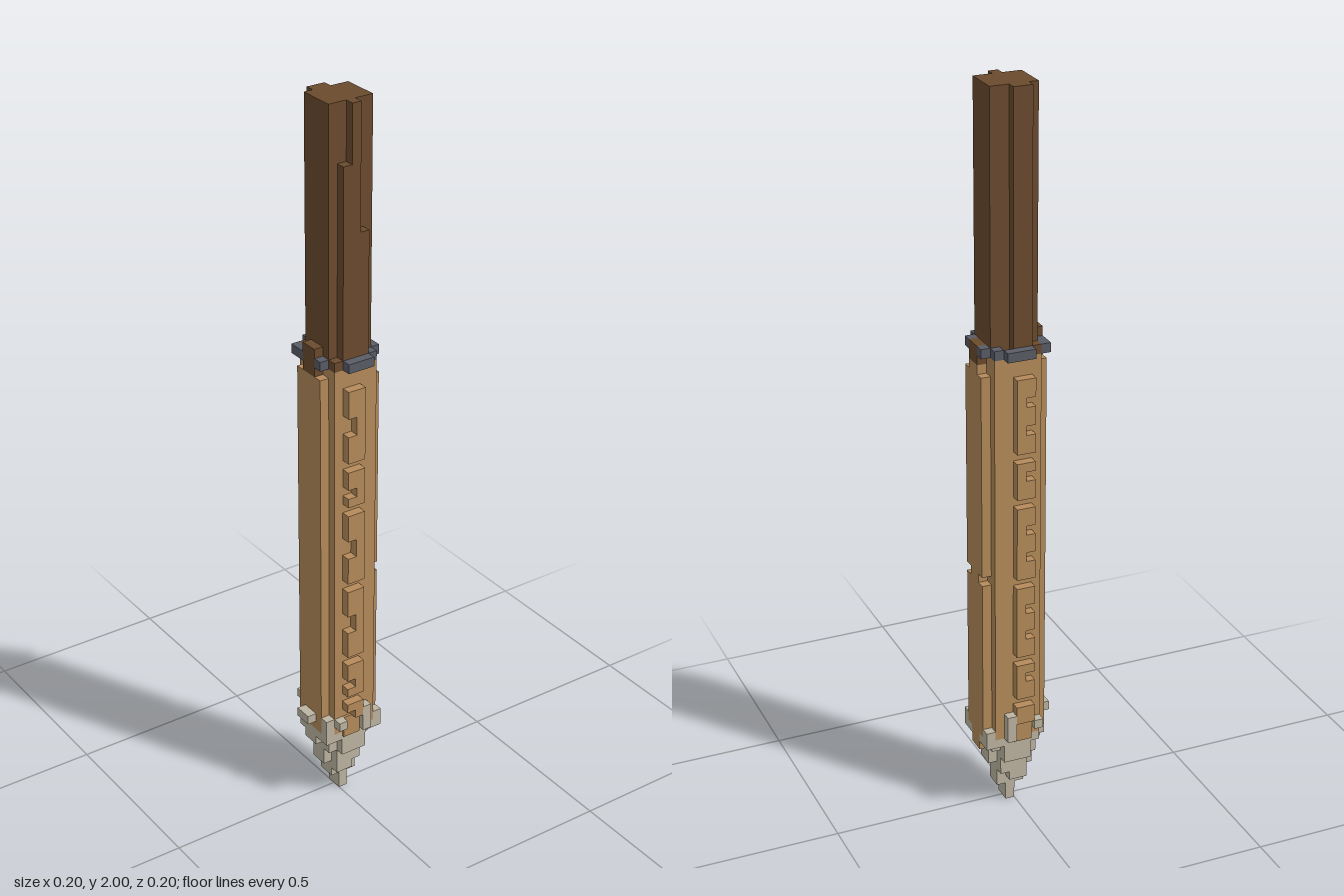
import * as THREE from 'three';

const V = 2 / 79; // one block

const wood = new THREE.MeshStandardMaterial({ color: 0x6b4a2e });
wood.name = 'dark wood';
const tan = new THREE.MeshStandardMaterial({ color: 0xb58b5a });
tan.name = 'tan wrap';
const iron = new THREE.MeshStandardMaterial({ color: 0x595c66 });
iron.name = 'blue grey iron';
const bone = new THREE.MeshStandardMaterial({ color: 0xbdb5a2 });
bone.name = 'pale tip';

export function createModel() {
  const model = new THREE.Group();
  model.name = 'stake';

  // Box spanning grid lines x0..x1, y0..y1, z0..z1
  function block(name, material, x0, x1, y0, y1, z0, z1) {
    const geo = new THREE.BoxGeometry((x1 - x0) * V, (y1 - y0) * V, (z1 - z0) * V);
    const mesh = new THREE.Mesh(geo, material);
    mesh.position.set((x0 + x1) / 2 * V, (y0 + y1) / 2 * V, (z0 + z1) / 2 * V);
    mesh.name = name;
    model.add(mesh);
  }

  // Handle with a stepped ridge in front and a straight one behind
  block('handle', wood, -2, 3, 52, 79, -2, 2);
  block('handleFrontRidge', wood, -1, 2, 52, 66, 2, 3);
  block('handleFrontRidge', wood, -1, 1, 66, 73, 2, 3);
  block('handleFrontRidge', wood, 0, 1, 73, 79, 2, 3);
  block('handleBackRidge', wood, -1, 1, 52, 79, -3, -2);

  // Wooden pegs reaching through the collar
  block('leftPeg', wood, 3, 4, 51, 53, -1, 1);
  block('rightPeg', wood, -3, -2, 51, 54, -1, 1);

  // Collar: an octagonal ring of blocks
  for (const s of [-1, 1]) {
    const z = (a, b) => (s > 0 ? [a, b] : [-b, -a]);
    block('collarFace', iron, -1, 2, 52, 53, ...z(3, 4));
    block('collarCorner', iron, 2, 3, 52, 53, ...z(2, 3));
    block('collarCornerWood', wood, -2, -1, 52, 53, ...z(2, 3));
    block('collarLeft', iron, 3, 4, 52, 53, ...z(1, 2));
    block('collarRight', iron, -3, -2, 52, 53, ...z(1, 2));
  }
  block('collarBackCorner', iron, -3, -2, 52, 53, -3, -2);

  // Wrapped body: core with a broad plate on each side
  block('bodyCore', tan, -2, 3, 9, 52, -3, 3);
  block('rightPlate', tan, -3, -2, 9, 51, -2, 2);
  block('leftPlate', tan, 3, 4, 9, 27, -2, 2);
  block('leftPlateNotch', tan, 3, 4, 27, 28, -1, 1);
  block('leftPlate', tan, 3, 4, 28, 50, -2, 2);
  block('leftPlateTop', tan, 3, 4, 50, 51, -1, 1);
  block('leftPlateFoot', tan, 3, 4, 7, 9, -1, 1);

  // Raised panels, front and back, with notched right edges
  const panels = [[42, 50], [37, 41], [28, 36], [19, 27], [14, 18], [11, 13]];
  for (const [a, b] of panels) {
    block('frontPanel', tan, 0, 1, a, b, 3, 4);
    block('backPanel', tan, 0, 1, a, b, -4, -3);
    const notch = a + Math.floor((b - a) / 2) - 1;
    const end = notch + (b - a > 4 ? 2 : 1);
    if (notch > a) block('frontPanelEdge', tan, -1, 0, a, notch, 3, 4);
    block('frontPanelEdge', tan, -1, 0, end, b, 3, 4);
    for (let y = a; y < b; y += 3) {
      block('backPanelEdge', tan, -1, 0, y, Math.min(y + 2, b), -4, -3);
    }
  }

  // Tip: stepped slices [x0, x1, y0, y1, z0, z1] growing upward
  const slices = [
    [0, 1, 0, 2, -1, 1],
    [-1, 2, 2, 4, -1, 1],
    [-1, 1, 3, 4, -2, 2],
    [-2, 2, 4, 5, -1, 1],
    [-1, 2, 4, 6, -2, 2],
    [-2, 3, 5, 7, -1, 1],
    [-2, 2, 6, 8, -2, 2],
    [-1, 2, 6, 8, -3, 3],
    [-3, 3, 7, 9, -1, 1],
    [-2, 3, 7, 9, -2, 2],
    [-2, 3, 8, 9, -3, 3],
    [-3, -2, 8, 9, -2, 2],
    [3, 4, 8, 9, -2, -1],
    [3, 4, 8, 9, 1, 2],
  ];
  for (const s of slices) block('tip', bone, ...s);

  // Ragged prongs of the tip gripping the body
  block('prongRight', bone, -4, -3, 10, 11, -1, 1);
  block('prongRightFront', bone, -3, -2, 8, 11, 2, 3);
  for (const s of [-1, 1]) {
    const z = (a, b) => (s > 0 ? [a, b] : [-b, -a]);
    block('prongCorner', bone, 3, 4, 8, 10, ...z(2, 3));
    block('prongFace', bone, -2, -1, 10, 11, ...z(3, 4));
    block('prongFace', bone, 1, 2, 9, 12, ...z(3, 4));
    block('bodyFoot', tan, -1, 1, 8.5, 11, ...z(3, 3.3));
  }
  return model;
}
